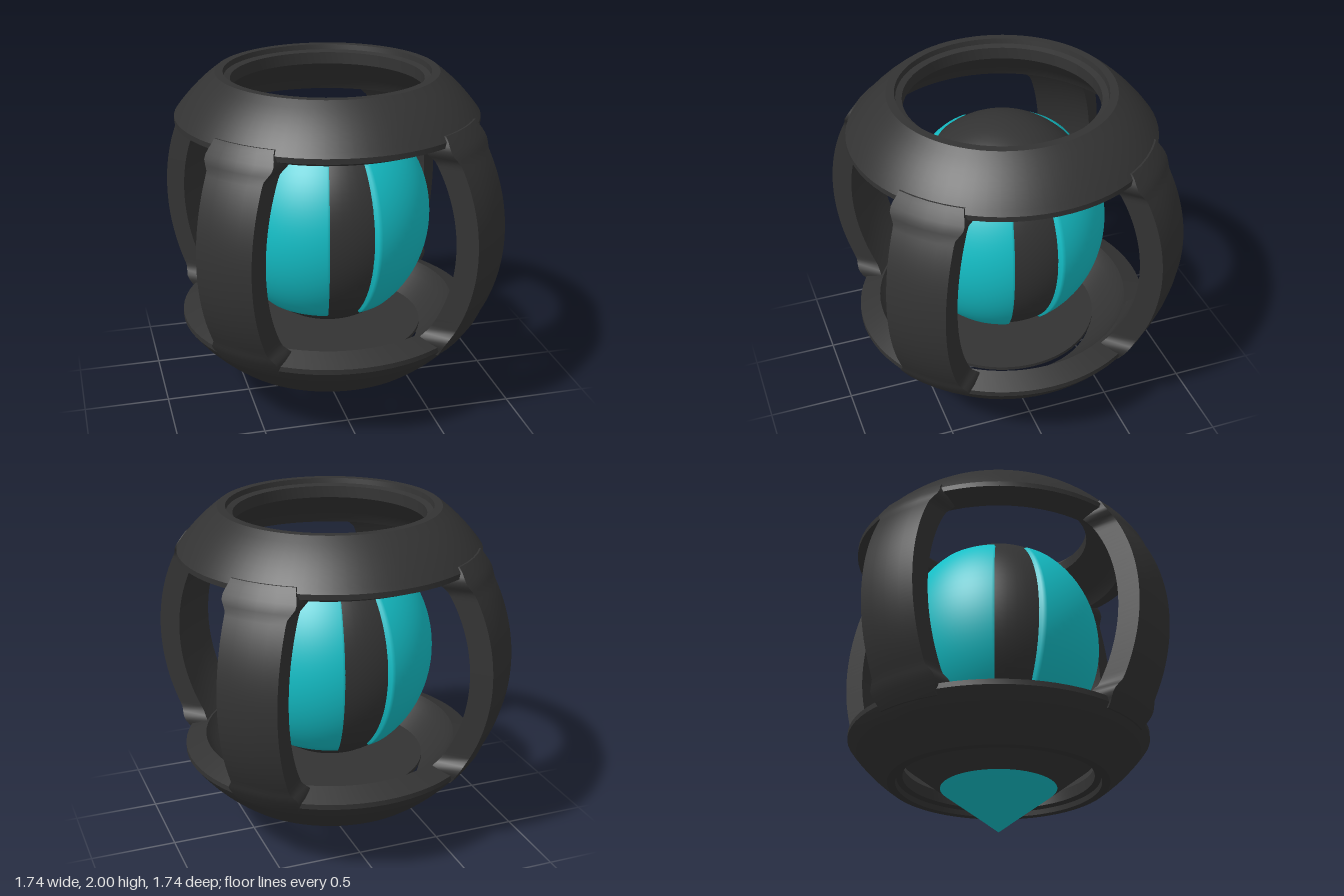
import * as THREE from 'three';
import { toCreasedNormals } from 'three/addons/utils/BufferGeometryUtils.js';
import { ParametricGeometry } from 'three/addons/geometries/ParametricGeometry.js';

const CENTRE = 1.14;   // height of the middle of cage and core
const OUTER = 1.07;    // cage sphere radii
const INNER = 0.93;

const dark = new THREE.MeshStandardMaterial({ color: 0x333333 });
const teal = new THREE.MeshStandardMaterial({ color: 0x14c0c8 });

function add(parent, name, geometry, material) {
  const mesh = new THREE.Mesh(geometry, material);
  mesh.name = name;
  parent.add(mesh);
  return mesh;
}

const lathe = (points, segments = 64) =>
  toCreasedNormals(new THREE.LatheGeometry(points.map(([x, y]) => new THREE.Vector2(x, y)), segments), 0.5);

const onSphere = (R, y) => [Math.sqrt(R * R - y * y), y];

// Closed section of the cage ring, measured from the centre height
function ringGeometry() {
  const points = [[0.75, 0.54], [0.872, 0.59], [0.872, 0.62]];
  for (let i = 0; i <= 6; i++) points.push(onSphere(OUTER, 0.65 + 0.035 * i));
  points.push([0.59, 0.86], [0.585, 0.83], [0.55, 0.82]);
  for (let i = 0; i <= 5; i++) points.push(onSphere(INNER, 0.75 - 0.035 * i));
  points.push([0.75, 0.54]);
  return lathe(points, 72);
}

// Curved pillar: a box bent between the two cage spheres, flared at both ends
function pillarGeometry() {
  const geometry = new THREE.BoxGeometry(2, 1.3, 1, 4, 52, 1);
  const p = geometry.attributes.position;
  for (let i = 0; i < p.count; i++) {
    const y = p.getY(i);
    const flare = THREE.MathUtils.smoothstep(Math.abs(y), 0.49, 0.56);
    const taper = THREE.MathUtils.smoothstep(Math.abs(y), 0.57, 0.65);
    const x = p.getX(i) * (0.177 + 0.036 * flare - 0.025 * taper);
    const R = p.getZ(i) > 0 ? OUTER + 0.008 * flare : INNER + 0.01;
    p.setXYZ(i, x, y, Math.sqrt(R * R - y * y - x * x));
  }
  return toCreasedNormals(geometry, 0.6);
}

// Raised core panel with bevelled borders, one quarter wide less the bands
function panelGeometry() {
  const band = 0.2, cap = 0.64;
  return new ParametricGeometry((u, v, target) => {
    const edge = Math.min(u, 1 - u, v, 1 - v);
    const r = 0.572 + 0.03 * Math.min(1, edge / 0.04);
    const phi = band + u * (Math.PI / 2 - 2 * band);
    const theta = Math.PI - cap - v * (Math.PI - 2 * cap);
    target.set(r * Math.sin(theta) * Math.sin(phi), 1.1 * r * Math.cos(theta),
      r * Math.sin(theta) * Math.cos(phi));
  }, 25, 25);
}

export function createModel() {
  const model = new THREE.Group();
  model.name = 'cagedCore';

  // Cage: two rings and four diagonal pillars
  const cage = new THREE.Group();
  cage.name = 'cage';
  cage.position.y = CENTRE;
  model.add(cage);
  const ring = ringGeometry();
  add(cage, 'topRing', ring, dark);
  add(cage, 'bottomRing', ring, dark).rotation.x = Math.PI;
  const pillar = pillarGeometry();
  for (let i = 0; i < 4; i++) add(cage, 'pillar', pillar, dark).rotation.y = Math.PI * (0.25 + 0.5 * i);

  // Core: dark ellipsoid showing as bands and caps between the panels
  const core = new THREE.Group();
  core.name = 'core';
  core.position.y = CENTRE;
  model.add(core);
  add(core, 'coreBody', new THREE.SphereGeometry(0.585, 64, 40), dark).scale.y = 1.12;
  const panel = panelGeometry();
  for (let i = 0; i < 4; i++) add(core, 'corePanel', panel, teal).rotation.y = Math.PI * 0.5 * i;

  // Pointed base under the core: coloured tip and dark lidded cone
  add(model, 'baseTip', lathe([[0, 0], [0.335, 0.255]]), teal);
  add(model, 'baseCone', lathe([[0.335, 0.255], [0.56, 0.43], [0.56, 0.45], [0, 0.45]]), dark);
  return model;
}
